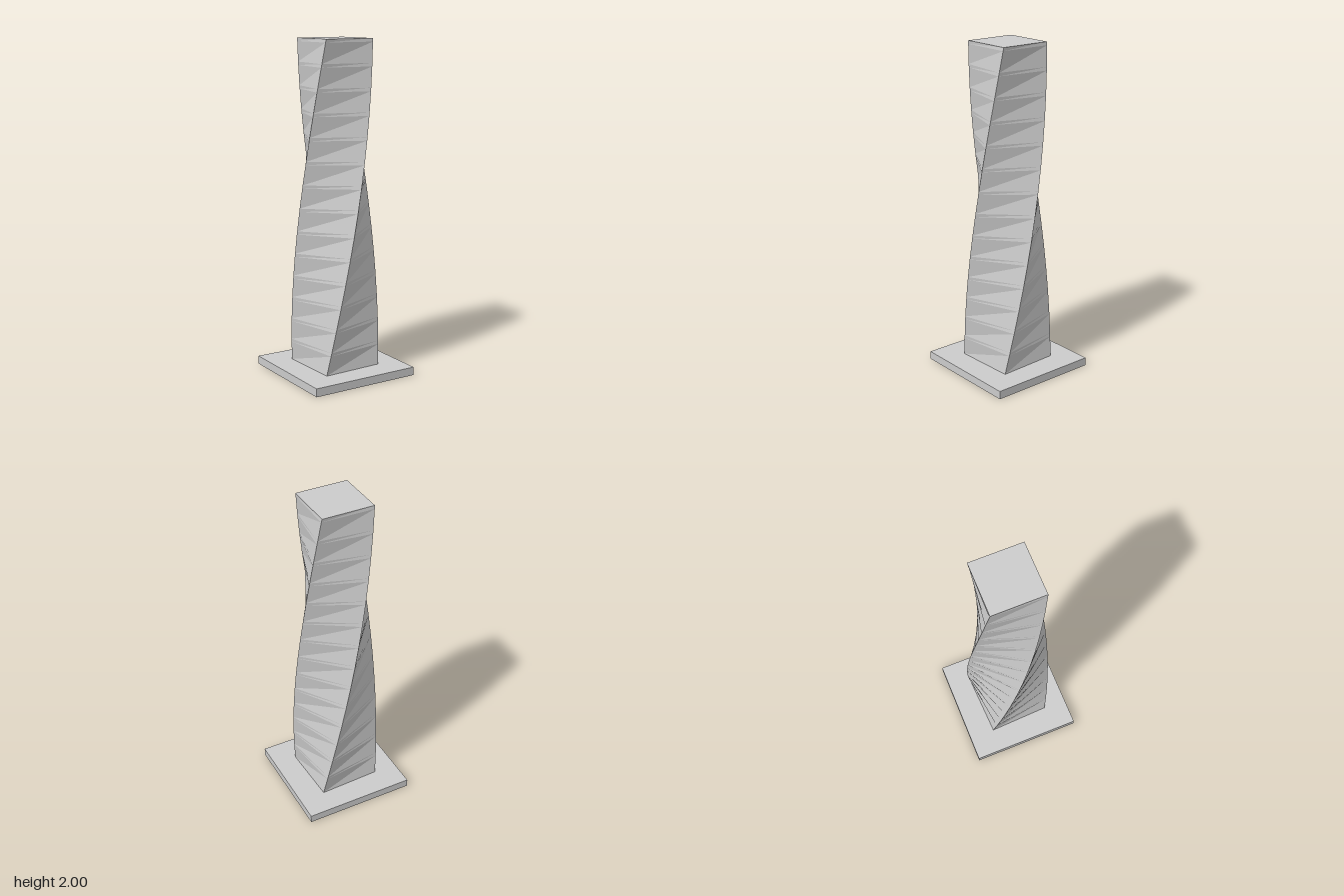
import * as THREE from 'three';

const HEIGHT = 2, BASE_TOP = 0.05, FLOORS = 14, BAND = 0.02;

// Corner i of the square floor plan at height y: tapers upward and turns a quarter over the full height
function corner(i, y) {
  const half = THREE.MathUtils.lerp(0.1895, 0.158, y / HEIGHT);
  const angle = Math.PI / 4 + (i + 1 - y / HEIGHT) * Math.PI / 2;
  const r = half * Math.SQRT2;
  return [r * Math.cos(angle), y, r * Math.sin(angle)];
}

// Twisted shaft: each storey is a tall wall band with a thin floor band on top
function shaftGeometry() {
  const levels = [];
  const step = (HEIGHT - BASE_TOP) / FLOORS;
  for (let f = 0; f < FLOORS; f++) {
    const y = BASE_TOP + f * step;
    levels.push(y, y + step - BAND);
  }
  levels.push(HEIGHT);

  const pos = [];
  for (let k = 0; k < levels.length - 1; k++) {
    for (let i = 0; i < 4; i++) {
      const br = corner(i, levels[k]), bl = corner(i + 1, levels[k]);
      const tr = corner(i, levels[k + 1]), tl = corner(i + 1, levels[k + 1]);
      pos.push(...bl, ...br, ...tr, ...bl, ...tr, ...tl);
    }
  }
  // Flat roof
  const [a, b, c, d] = [0, 1, 2, 3].map((i) => corner(i, HEIGHT));
  pos.push(...a, ...c, ...b, ...a, ...d, ...c);

  const geo = new THREE.BufferGeometry();
  geo.setAttribute('position', new THREE.Float32BufferAttribute(pos, 3));
  geo.computeVertexNormals();
  return geo;
}

// Square plinth, open underneath
function plinthGeometry() {
  const geo = new THREE.BoxGeometry(0.684, BASE_TOP, 0.684);
  const index = Array.from(geo.index.array);
  index.splice(18, 6); // drop the underside
  geo.setIndex(index);
  geo.clearGroups();
  return geo.translate(0, BASE_TOP / 2, 0);
}

export function createModel() {
  const grey = new THREE.MeshStandardMaterial({ color: 0xcccccc, side: THREE.DoubleSide });
  grey.name = 'light grey';

  const shaft = new THREE.Mesh(shaftGeometry(), grey);
  shaft.name = 'twistedShaft';
  const plinth = new THREE.Mesh(plinthGeometry(), grey);
  plinth.name = 'plinth';

  const group = new THREE.Group();
  group.name = 'twistedTower';
  group.add(shaft, plinth);
  return group;
}
